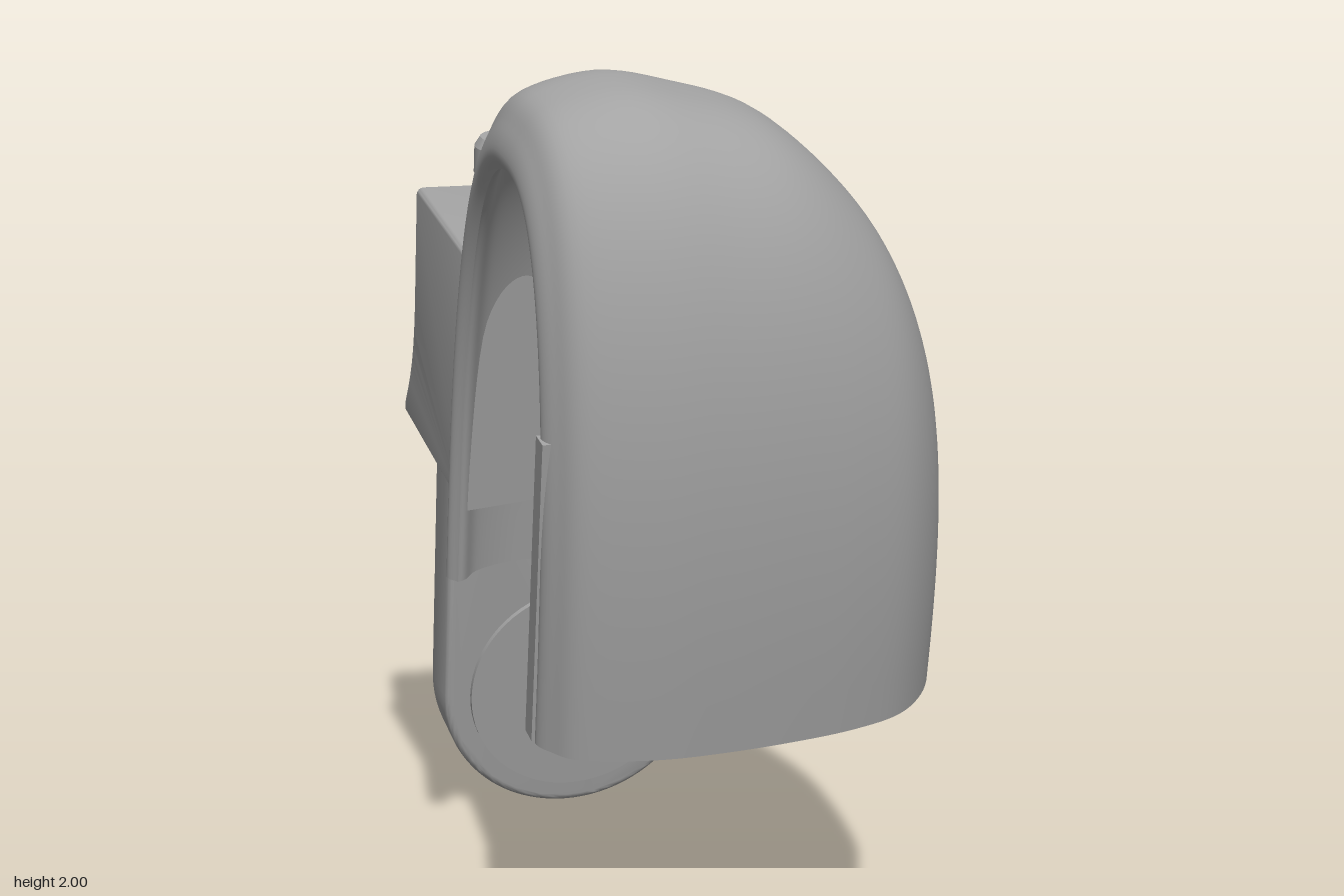
import * as THREE from 'three';
import { toCreasedNormals } from 'three/addons/utils/BufferGeometryUtils.js';

const grey = new THREE.MeshStandardMaterial({ color: 0xa3a3a3, side: THREE.DoubleSide });
grey.name = 'plain grey';

function part(name, geometry, parent) {
  const mesh = new THREE.Mesh(geometry, grey);
  mesh.name = name;
  parent.add(mesh);
  return mesh;
}

// Skin over rows of points, all rows of equal length
function skin(rows, flip = false) {
  const n = rows[0].length, index = [];
  for (let i = 0; i < rows.length - 1; i++) {
    for (let j = 0; j < n - 1; j++) {
      const a = i * n + j, b = a + n, c = a + 1, d = b + 1;
      index.push(...(flip ? [a, c, b, b, c, d] : [a, b, c, b, d, c]));
    }
  }
  const g = new THREE.BufferGeometry();
  g.setAttribute('position', new THREE.Float32BufferAttribute(rows.flat(2), 3));
  g.setIndex(index);
  g.computeVertexNormals();
  return g;
}

const BASE = 0.765;
const MID = 0.1;

// Arch over the z axis at one x station: height h, half width w
function arch({ x, y: h, z: w }) {
  const row = [], steps = 72, e = 2 / 2.6;
  for (let j = 0; j <= steps; j++) {
    const a = (Math.PI * j) / steps, c = Math.cos(a), s = Math.max(0, Math.sin(a));
    row.push([x, BASE + h * (j === steps ? 0 : s ** e), MID + w * Math.sign(c) * Math.abs(c) ** e]);
  }
  return row;
}

// Smooth run of arches through [x, height, half width] stations
function arches(stations) {
  const curve = new THREE.CatmullRomCurve3(stations.map((s) => new THREE.Vector3(...s)), false, 'catmullrom', 0.5);
  return curve.getPoints(72).map(arch);
}

function extruded(shape, depth, bevel) {
  return toCreasedNormals(new THREE.ExtrudeGeometry(shape, {
    depth: depth - 2 * bevel, curveSegments: 40, bevelThickness: bevel,
    bevelSize: bevel, bevelOffset: -bevel, bevelSegments: 5,
  }).translate(0, 0, bevel), 0.5);
}

function buildShell(parent) {
  const shell = new THREE.Group();
  shell.name = 'hollowShell';
  parent.add(shell);
  const outer = arches([
    [-0.455, 1.085, 0.37], [-0.475, 1.12, 0.40], [-0.455, 1.18, 0.44], [-0.40, 1.245, 0.49],
    [-0.25, 1.28, 0.52], [-0.10, 1.255, 0.52], [0.06, 1.205, 0.505], [0.20, 1.10, 0.48],
    [0.32, 0.96, 0.435], [0.41, 0.78, 0.345], [0.47, 0.56, 0.22], [0.498, 0.36, 0.12], [0.505, 0, 0],
  ]);
  const inner = arches([
    [-0.455, 1.085, 0.37], [-0.435, 1.10, 0.38], [-0.40, 1.16, 0.42], [-0.33, 1.20, 0.45],
    [-0.25, 1.215, 0.46], [-0.10, 1.195, 0.465], [0.06, 1.145, 0.445], [0.20, 1.03, 0.42],
    [0.30, 0.89, 0.375], [0.37, 0.72, 0.29], [0.42, 0.50, 0.18], [0.445, 0.30, 0.10], [0.45, 0, 0],
  ]);
  part('shellOutside', skin(outer), shell);
  part('shellInside', skin(inner, true), shell);

  // Flat rim closing the wall along the base
  const last = outer[0].length - 1;
  part('frontBaseRim', skin([outer.map((r) => r[0]), inner.map((r) => r[0])]), shell);
  part('backBaseRim', skin([outer.map((r) => r[last]), inner.map((r) => r[last])], true), shell);

  // Narrow strip on the front edge of the side opening
  part('edgeStrip', new THREE.BoxGeometry(0.04, 0.66, 0.05), shell).position.set(-0.46, BASE + 0.33, 0.465);
}

function buildBlock(parent) {
  // Side profile: x is depth, y is height, with a flared foot at the back
  const s = new THREE.Shape();
  s.moveTo(-0.31, 0.94);
  s.lineTo(-0.31, 1.55);
  s.lineTo(-0.785, 1.55);
  s.quadraticCurveTo(-0.803, 1.55, -0.803, 1.53);
  s.lineTo(-0.803, 1.28);
  s.bezierCurveTo(-0.803, 1.12, -0.84, 1.06, -0.885, 0.985);
  s.quadraticCurveTo(-0.905, 0.94, -0.87, 0.94);
  s.closePath();
  const g = extruded(s, 0.35, 0.018);
  g.rotateY(-Math.PI / 2).translate(-0.10, 0, 0);
  // Slant the front end to follow the shell wall
  const p = g.attributes.position;
  for (let i = 0; i < p.count; i++) {
    if (p.getZ(i) > -0.5) p.setZ(i, p.getZ(i) - (p.getX(i) + 0.275) * 0.2);
  }
  part('mountBlock', g, parent);
}

function buildButton(parent) {
  const profile = [
    [0, 1.5], [0.05, 1.5], [0.05, 1.622], [0.062, 1.622], [0.068, 1.628],
    [0.068, 1.69], [0.055, 1.712], [0, 1.712],
  ].map(([r, y]) => new THREE.Vector2(r, y));
  const g = toCreasedNormals(new THREE.LatheGeometry(profile, 40), 0.5);
  part('topButton', g, parent).position.set(-0.28, 0, -0.64);
}

function buildPaddle(parent) {
  const cx = -0.03, cy = 0.228, r = 0.345, end = 1.4;
  const s = new THREE.Shape();
  s.moveTo(-0.17, 1.0);
  s.lineTo(cx - r, 1.0);
  s.lineTo(cx - r, cy);
  s.absarc(cx, cy, r, Math.PI, 2 * Math.PI + end, false);
  s.bezierCurveTo(-0.08, 0.59, -0.15, 0.66, -0.17, 0.82);
  s.closePath();
  part('paddleArm', extruded(s, 0.16, 0.02).translate(0, 0, -0.86), parent);

  // Raised round pad on the front of the paddle
  const pad = new THREE.CylinderGeometry(0.28, 0.28, 0.035, 64).rotateX(Math.PI / 2);
  part('roundPad', pad, parent).position.set(cx, cy, -0.7025);
}

export function createModel() {
  const model = new THREE.Group();
  model.name = 'shellWithPaddle';
  // Everything leans forward and turns a little
  const body = new THREE.Group();
  body.name = 'tiltedBody';
  body.rotation.set(Math.PI / 18, Math.PI / 18, 0, 'YXZ');
  model.add(body);
  buildShell(body);
  buildBlock(body);
  buildButton(body);
  buildPaddle(body);
  return model;
}
